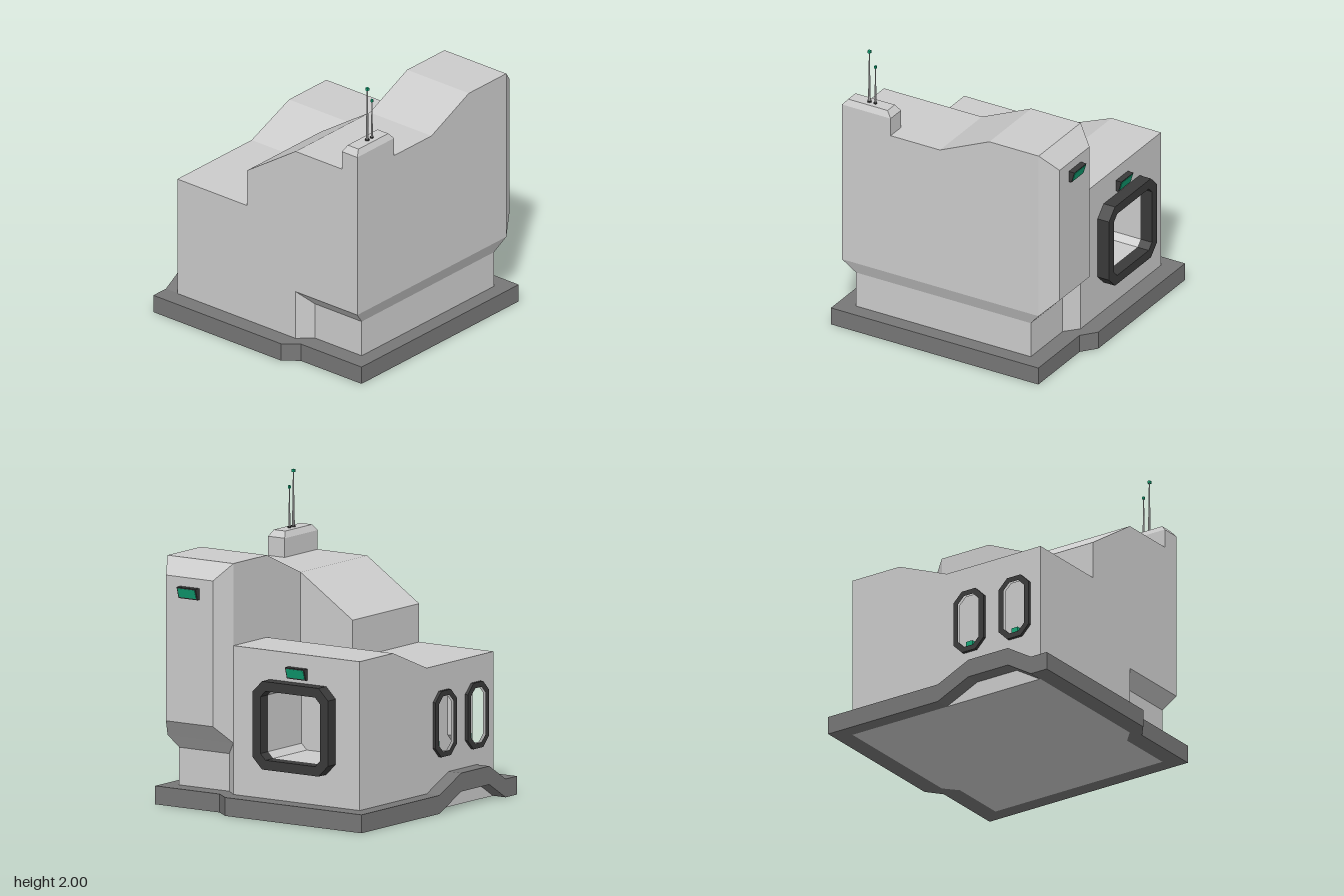
import * as THREE from 'three';
import { ConvexGeometry } from 'three/addons/geometries/ConvexGeometry.js';

const mat = (color) => new THREE.MeshStandardMaterial({ color, flatShading: true });

export function createModel() {
  const root = new THREE.Group();
  const wall = mat(0xcccccc), stone = mat(0x777777), dark = mat(0x3a3a3a), green = mat(0x12a878);

  const add = (name, geometry, material, parent = root) => {
    const mesh = new THREE.Mesh(geometry, material);
    mesh.name = name;
    parent.add(mesh);
    return mesh;
  };
  const group = (name) => {
    const g = new THREE.Group();
    g.name = name;
    root.add(g);
    return g;
  };

  // Prism along an axis; points are (x,y) for z, (z,y) for x and (x,z) for y
  const prism = (axis, points, from, to, holes = []) => {
    const vec = (list) => list.map(([u, v]) => new THREE.Vector2(axis === 'x' ? -u : u, v));
    const shape = new THREE.Shape(vec(points));
    shape.holes = holes.map((h) => new THREE.Path(vec(h)));
    const geo = new THREE.ExtrudeGeometry(shape, { depth: to - from, bevelEnabled: false });
    if (axis === 'x') return geo.rotateY(Math.PI / 2).translate(from, 0, 0);
    if (axis === 'y') return geo.rotateX(Math.PI / 2).translate(0, to, 0);
    return geo.translate(0, 0, from);
  };
  const hull = (points) => new ConvexGeometry(points.map((p) => new THREE.Vector3(...p)));
  const box = (w, h, d, x, y, z) => new THREE.BoxGeometry(w, h, d).translate(x, y, z);
  const rect = (u0, u1, v0, v1) => [[u0, v0], [u1, v0], [u1, v1], [u0, v1]];
  const octagon = (cu, cv, w, h, c) => {
    const a = w / 2, b = h / 2;
    return [[-a + c, -b], [a - c, -b], [a, -b + c], [a, b - c], [a - c, b], [-a + c, b], [-a, b - c], [-a, -b + c]]
      .map(([u, v]) => [cu + u, cv + v]);
  };

  const L = -0.745, M = 0.25, R = 0.77, F = 0.755, B = -0.72;

  // Plinth around the walls, open under the building
  add('plinth', prism('y', [
    [L, 0.875], [0.23, 0.875], [0.33, 0.795], [0.84, 0.795], [0.84, -0.76], [0.33, -0.76], [0.23, -0.84], [L, -0.84],
    [L, B], [M, B], [0.34, -0.64], [0.735, -0.64], [0.735, 0.67], [0.34, 0.67], [M, F], [L, F],
  ], 0, 0.12), stone);
  // Side strip of the plinth, bent up into a low arch
  const bend = [[-0.84, 0], [0.02, 0], [0.26, 0.11], [0.57, 0.11], [0.75, 0], [0.875, 0]];
  add('plinthArch', prism('x', [...bend, ...bend.map(([z, y]) => [z, y + 0.12]).reverse()], -0.845, L), stone);

  // Low wing: back slab with the large opening, side slab with two openings, solid core
  const bigHole = octagon(-0.258, 0.613, 0.47, 0.45, 0.04);
  const sideZ = [0.205, 0.56];
  const sideHoles = sideZ.map((z) => octagon(z, 0.555, 0.16, 0.36, 0.045));
  const wing = [[-0.35, 0], [F, 0], [F, 0.94], [0.02, 0.94], [-0.35, 1.09]];
  add('wingBack', prism('z', rect(L, M, 0, 1.09), B, -0.35, [bigHole]), wall);
  add('wingSide', prism('x', wing, L, -0.58, sideHoles), wall);
  add('wingCore', prism('x', wing, -0.58, M), wall);
  add('slopedRoof', prism('z', [[-0.16, 0.9], [M, 0.9], [M, 1.46], [-0.16, 1.19]], 0.02, F), wall);

  // Tower body with a stepped roof
  add('tower', prism('x', [[B, 0.455], [F, 0.455], [F, 1.46], [0.02, 1.46], [-0.35, 1.625], [B, 1.625]], M, R), wall);
  // Bevelled bay on the back of the tower
  const bay = [];
  for (const [x, y] of rect(M, R, 0.455, 1.625)) bay.push([x, y, B]);
  for (const [x, y] of rect(0.33, 0.7, 0.57, 1.52)) bay.push([x, y, -0.835]);
  add('towerBay', hull(bay), wall);
  // Inset foot and the splay above it
  add('towerFoot', prism('y', [[M, F], [0.34, 0.67], [0.735, 0.67], [0.735, -0.64], [0.34, -0.64], [M, B]], 0, 0.365), wall);
  const splay = [];
  for (const [x, z] of rect(0.34, 0.735, -0.64, 0.67)) splay.push([x, 0.365, z]);
  for (const [x, z] of rect(M, R, B, F)) splay.push([x, 0.455, z]);
  add('towerSplay', hull(splay), wall);
  for (const [outer, inner] of [[F, 0.67], [B, -0.64]]) {
    add('footCorner', hull([[M, 0.455, outer], [M, 0.365, outer], [0.34, 0.365, inner], [M, 0.365, inner]]), wall);
  }

  // Roof block carrying the antennas
  add('antennaBlock', box(0.13, 0.125, 0.365, 0.705, 1.5225, 0.5725), wall);
  const cap = [];
  for (const [x, z] of rect(0.64, R, 0.39, F)) cap.push([x, 1.585, z]);
  for (const [x, z] of rect(0.66, 0.75, 0.425, 0.72)) cap.push([x, 1.625, z]);
  add('antennaBlockCap', hull(cap), wall);

  // Antennas with thin stepped masts and coloured tips
  for (const [z, top, r] of [[0.585, 2, 0.009], [0.54, 1.9, 0.007]]) {
    const antenna = group('antenna');
    const h = top - 1.625;
    const rod = (name, r0, r1, y0, y1, m) => add(name,
      new THREE.CylinderGeometry(r1, r0, y1 - y0, 8).translate(0.71, (y0 + y1) / 2, z), m, antenna);
    rod('antennaFoot', r * 1.6, r * 1.6, 1.62, 1.635, dark);
    rod('antennaBase', r, r * 0.75, 1.625, 1.625 + h * 0.5, wall);
    rod('antennaMast', r * 0.6, r * 0.45, 1.625 + h * 0.5, top - 0.01, wall);
    add('antennaTip', box(r * 2, 0.018, r * 2, 0.71, top - 0.009, z), green, antenna);
  }

  // Large back window frame, with a bevelled outer edge
  const bigOuter = octagon(-0.258, 0.613, 0.595, 0.575, 0.075);
  add('backWindowFrame', prism('z', bigOuter, -0.805, B, [bigHole]), dark);

  // Side window frames with a small light inside each
  sideZ.forEach((z, i) => {
    add('sideWindowFrame', prism('x', octagon(z, 0.555, 0.235, 0.43, 0.065), -0.766, L, [sideHoles[i]]), dark);
    add('sideWindowLight', box(0.05, 0.05, 0.05, -0.69, 0.41, z - 0.03), green);
  });

  // Tilted sign boxes on the tower bay and above the back window
  for (const [x, y, z] of [[0.512, 1.385, -0.835], [-0.26, 0.925, B]]) {
    const sign = group('sign');
    add('signBox', prism('x', [[z + 0.01, y], [z - 0.02, y], [z - 0.042, y + 0.075], [z + 0.01, y + 0.075]], x - 0.075, x + 0.075), dark, sign);
    add('signPanel', prism('x', [[z - 0.01, y + 0.008], [z - 0.025, y + 0.008], [z - 0.043, y + 0.067], [z - 0.01, y + 0.067]], x - 0.067, x + 0.067), green, sign);
  }

  return root;
}
